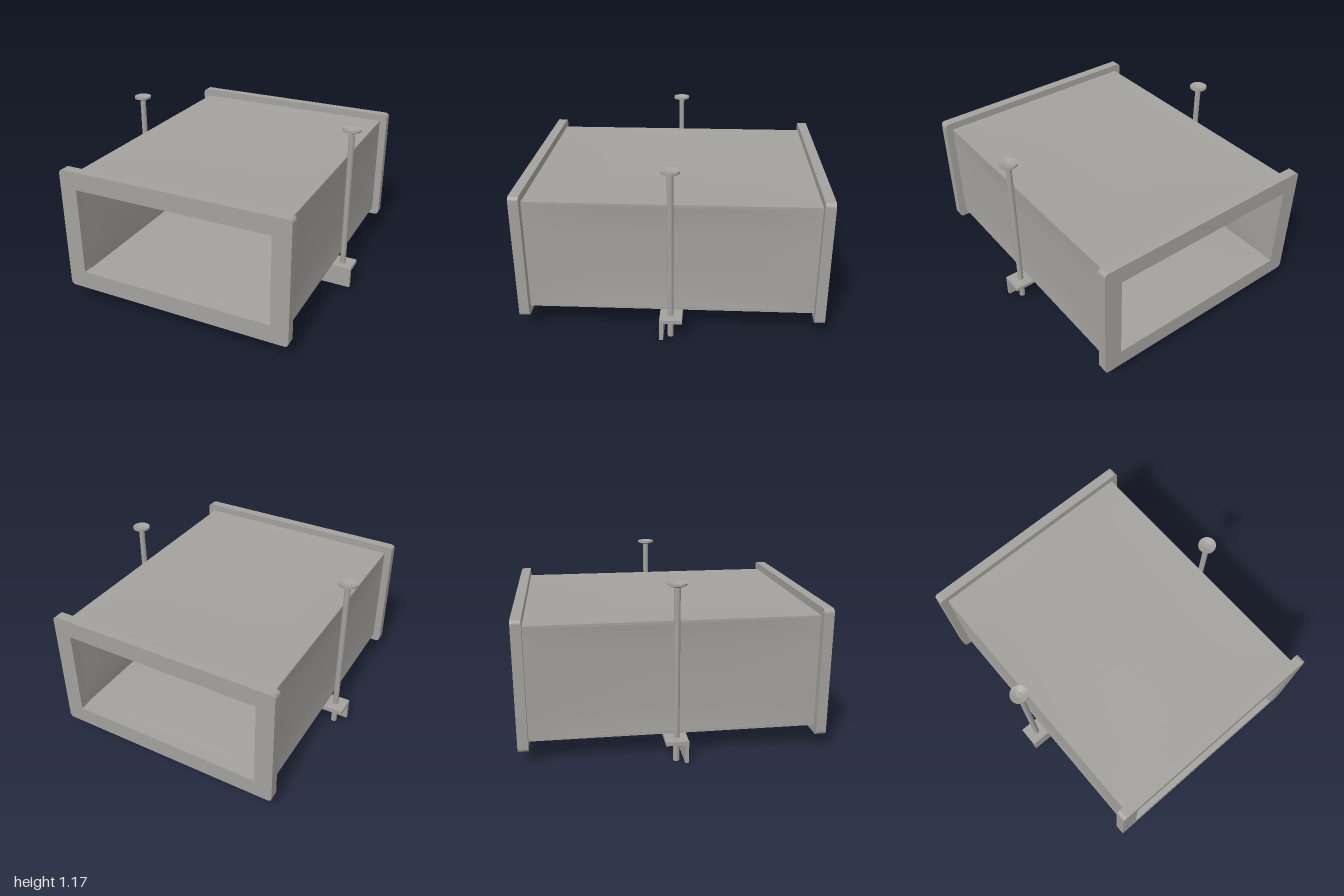
import * as THREE from 'three';

const steel = new THREE.MeshStandardMaterial({ color: 0xa3a19d, side: THREE.DoubleSide });
steel.name = 'galvanised grey';

const MID = 0.5375; // height of the duct axis
const SHEET = 0.017; // duct wall thickness

function part(parent, name, geometry, x = 0, y = 0, z = 0) {
  const mesh = new THREE.Mesh(geometry, steel);
  mesh.name = name;
  mesh.position.set(x, y, z);
  parent.add(mesh);
  return mesh;
}

// Rectangle outline with optional rounded corners
function outline(target, hw, hh, r) {
  if (!r) {
    target.moveTo(-hw, -hh).lineTo(hw, -hh).lineTo(hw, hh).lineTo(-hw, hh).closePath();
    return target;
  }
  target.moveTo(-hw + r, -hh);
  target.absarc(hw - r, -hh + r, r, -Math.PI / 2, 0);
  target.absarc(hw - r, hh - r, r, 0, Math.PI / 2);
  target.absarc(-hw + r, hh - r, r, Math.PI / 2, Math.PI);
  target.absarc(-hw + r, -hh + r, r, Math.PI, Math.PI * 1.5);
  target.closePath();
  return target;
}

// Flange ring centred on z
function flange(depth) {
  const shape = outline(new THREE.Shape(), 0.802, 0.429, 0.028);
  shape.holes.push(outline(new THREE.Path(), 0.68, 0.305, 0));
  const g = new THREE.ExtrudeGeometry(shape, { depth, bevelEnabled: false, curveSegments: 6 });
  return g.translate(0, 0, -depth / 2);
}

// Sheet-metal panel, top at y = 0, sagging very slightly inwards
function panel(width, length) {
  const g = new THREE.BoxGeometry(width, SHEET, length, 14, 1, 20).translate(0, -SHEET / 2, 0);
  const p = g.attributes.position;
  for (let i = 0; i < p.count; i++) {
    const u = (2 * p.getX(i)) / width;
    const v = (2 * p.getZ(i)) / length;
    p.setY(i, p.getY(i) - 0.012 * (1 - u ** 4) * (1 - v ** 4));
  }
  g.computeVertexNormals();
  return g;
}

export function createModel() {
  const model = new THREE.Group();
  model.name = 'suspendedDuct';

  // Thin-walled duct from four panels, with a flange on each end
  for (const s of [1, -1]) {
    const cover = part(model, s > 0 ? 'topPanel' : 'bottomPanel', panel(1.5, 1.88), 0, MID + s * 0.377, 0);
    cover.rotation.z = s > 0 ? 0 : Math.PI;
    const side = part(model, s > 0 ? 'leftPanel' : 'rightPanel', panel(0.722, 1.88), s * 0.75, MID, 0);
    side.rotation.z = (-s * Math.PI) / 2;
    part(model, s > 0 ? 'frontFlange' : 'backFlange', flange(0.067), 0, MID, s * 0.9665);
  }

  // Angle-iron support under the duct
  const angle = new THREE.Shape();
  [[-0.077, 0.161], [-0.077, 0.136], [0.045, 0.136], [0.045, 0.013], [0.07, 0.013], [0.07, 0.161]]
    .forEach(([z, y], i) => (i ? angle.lineTo(-z, y) : angle.moveTo(-z, y)));
  const angleGeo = new THREE.ExtrudeGeometry(angle, { depth: 1.772, bevelEnabled: false });
  angleGeo.translate(0, 0, -0.886).rotateY(Math.PI / 2);
  part(model, 'angleSupport', angleGeo);

  // Threaded hangers: rod, nut below the angle, dished anchor plate on top
  const dish = [[0.02, 1.142], [0.034, 1.142], [0.06, 1.152], [0.06, 1.166], [0.02, 1.152]]
    .map(([x, y]) => new THREE.Vector2(x, y));
  for (const s of [1, -1]) {
    const hanger = new THREE.Group();
    hanger.name = s > 0 ? 'leftHanger' : 'rightHanger';
    hanger.position.x = s * 0.808;
    model.add(hanger);
    part(hanger, 'rod', new THREE.CylinderGeometry(0.02, 0.02, 1.154, 20), 0, 0.577, 0);
    part(hanger, 'nut', new THREE.CylinderGeometry(0.034, 0.034, 0.026, 6).toNonIndexed(), 0, 0.123, 0);
    const plate = new THREE.LatheGeometry(dish, 28).toNonIndexed();
    plate.computeVertexNormals();
    part(hanger, 'anchorPlate', plate);
  }
  return model;
}
